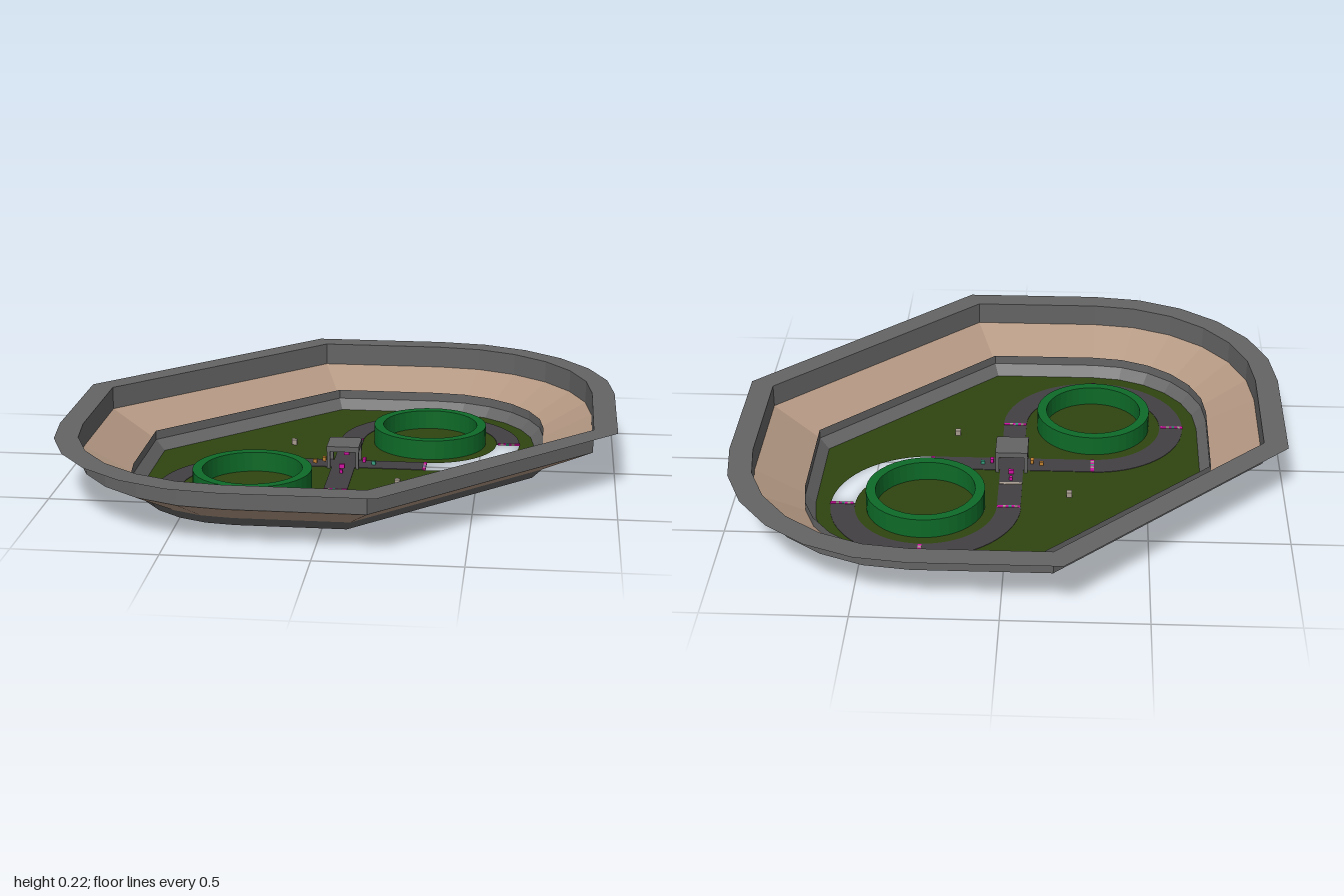
import * as THREE from 'three';

const mat = (name, color, extra = {}) =>
  Object.assign(new THREE.MeshStandardMaterial({ color, side: THREE.DoubleSide, ...extra }), { name });

export function createModel() {
  const model = new THREE.Group();
  model.name = 'arena';
  const flat = { flatShading: true };
  const concrete = mat('concrete grey', 0x646464, flat);
  const tan = mat('stand tan', 0xb39782, flat);
  const grass = mat('grass green', 0x2f4510);
  const asphalt = mat('asphalt', 0x423f42);
  const barrier = mat('barrier green', 0x0e6a28, flat);
  const magenta = mat('marker magenta', 0xd010a0);
  const teal = mat('marker teal', 0x38a080);
  const pale = mat('marker pale', 0xa89c90);
  const orange = mat('lamp orange', 0xc08030);

  const add = (name, geometry, material, parent = model) => {
    const mesh = new THREE.Mesh(geometry, material);
    mesh.name = name;
    parent.add(mesh);
    return mesh;
  };
  const box = (name, w, h, d, x, y, z, material, parent) => {
    const m = add(name, new THREE.BoxGeometry(w, h, d), material, parent);
    m.position.set(x, y, z);
    return m;
  };

  // Plan outline [x, z] at half extent e: two rounded and two chamfered corners
  const outline = (e) => {
    const half = [[0.204 - 0.414 * e, -e]];
    for (let i = 0; i <= 6; i++) {
      const a = (i / 6) * Math.PI / 2;
      half.push([0.3 + (e - 0.3) * Math.sin(a), -0.3 - (e - 0.3) * Math.cos(a)]);
    }
    half.push([e, 0.414 * e - 0.204]);
    return [...half, ...half.map(([x, z]) => [-x, -z])];
  };

  // Band of flat faces joining two outlines
  const band = (name, e0, y0, e1, y1, material) => {
    const a = outline(e0), b = outline(e1), pos = [];
    a.forEach((p, i) => {
      const j = (i + 1) % a.length;
      const A = [p[0], y0, p[1]], B = [a[j][0], y0, a[j][1]];
      const C = [b[j][0], y1, b[j][1]], D = [b[i][0], y1, b[i][1]];
      pos.push(...A, ...B, ...C, ...A, ...C, ...D);
    });
    const g = new THREE.BufferGeometry();
    g.setAttribute('position', new THREE.Float32BufferAttribute(pos, 3));
    g.computeVertexNormals();
    add(name, g, material);
  };
  band('lowerWall', 0.7, 0.002, 0.735, 0.04, concrete);
  band('standBarrier', 0.735, 0.04, 0.735, 0.075, concrete);
  band('stand', 0.735, 0.04, 0.915, 0.135, tan);
  band('outerWall', 0.915, 0.135, 0.915, 0.22, concrete);
  band('rim', 0.915, 0.22, 1, 0.22, concrete);

  // Plan shapes use y = -z
  const R0 = 0.257, R1 = 0.345, RING0 = 0.18, RING1 = 0.215;
  const sector = (cx, cy, a0, a1) => {
    const s = new THREE.Shape();
    s.absarc(cx, cy, R1, a0, a1, false);
    s.absarc(cx, cy, R0, a1, a0, true);
    s.closePath();
    return s;
  };
  const circle = (cx, cy, r) => new THREE.Shape().absarc(cx, cy, r, 0, Math.PI * 2, false);

  // Grass floor, open at the missing bend and under the ring barriers
  const floorShape = new THREE.Shape(outline(0.7).map(([x, z]) => new THREE.Vector2(x, -z)));
  floorShape.holes.push(sector(0.3, 0.3, -Math.PI / 2, 0), circle(0.3, 0.3, RING1), circle(-0.3, -0.3, RING1));
  const islands = [circle(0.3, 0.3, RING0), circle(-0.3, -0.3, RING0)];
  const floor = add('floor', new THREE.ShapeGeometry([floorShape, ...islands], 24), grass);
  floor.rotation.x = -Math.PI / 2;
  floor.position.y = 0.002;

  // Figure-eight track
  const bends = [sector(0.3, 0.3, 0, Math.PI), sector(-0.3, -0.3, Math.PI / 2, Math.PI * 2)];
  const track = add('trackBends',
    new THREE.ExtrudeGeometry(bends, { depth: 0.004, bevelEnabled: false, curveSegments: 28 }), asphalt);
  track.rotation.x = -Math.PI / 2;
  box('trackStraightAcross', 0.6, 0.004, 0.086, 0, 0.002, 0, asphalt);
  for (const s of [-1, 1])
    box('trackStraightAlong', 0.086, 0.004, 0.257, 0, 0.002, s * 0.1715, asphalt);

  // Ring barriers
  const ringProfile = [[RING1, 0.001], [RING1, 0.075], [RING0, 0.075], [RING0, 0.001]]
    .map(([x, y]) => new THREE.Vector2(x, y));
  for (const s of [-1, 1])
    add('ringBarrier', new THREE.LatheGeometry(ringProfile, 40), barrier).position.set(s * 0.3, 0, -s * 0.3);

  // Dashed checkpoint lines across the track
  const dashes = [magenta, pale, magenta, teal, magenta, pale, magenta, magenta];
  const checkpoint = (name, x, z, alongZ, colors) => {
    const g = new THREE.Group();
    g.name = name;
    colors.forEach((c, i) =>
      box('dash', 0.0105, 0.006, 0.013, (i - 3.5) * 0.0105, 0.003, 0, c, g));
    g.position.set(x, 0, z);
    if (alongZ) g.rotation.y = Math.PI / 2;
    model.add(g);
  };
  for (const s of [-1, 1]) {
    checkpoint('checkpoint', 0, s * 0.3, false, dashes);
    checkpoint('checkpoint', s * 0.605, -s * 0.3, false, dashes);
    checkpoint('checkpoint', s * 0.3, 0, true, dashes);
    checkpoint('checkpoint', s * 0.3, -s * 0.605, true, dashes);
  }
  checkpoint('startLine', 0, -0.14, false, dashes.map(() => pale));

  // Canopy over the crossing
  const canopy = new THREE.Group();
  canopy.name = 'canopy';
  model.add(canopy);
  box('roof', 0.12, 0.02, 0.12, 0, 0.077, 0, concrete, canopy);
  for (const x of [-1, 1]) for (const z of [-1, 1])
    box('post', 0.012, 0.067, 0.012, x * 0.053, 0.0345, z * 0.053, concrete, canopy);

  // Small lamps beside the crossing and posts on the grass
  for (const s of [-1, 1]) {
    box('sideLamp', 0.012, 0.015, 0.02, s * 0.075, 0.02, 0, s < 0 ? orange : magenta);
    box('sideLamp', 0.015, 0.012, 0.012, s * 0.11, 0.01, 0, s < 0 ? orange : teal);
    box('endLamp', 0.02, 0.015, 0.012, 0, 0.02, s * 0.08, magenta);
    box('endLamp', 0.012, 0.012, 0.015, 0, 0.01, s * 0.11, magenta);
    box('grassPost', 0.02, 0.02, 0.02, s * 0.217, 0.013, s * 0.217, pale);
  }
  return model;
}
